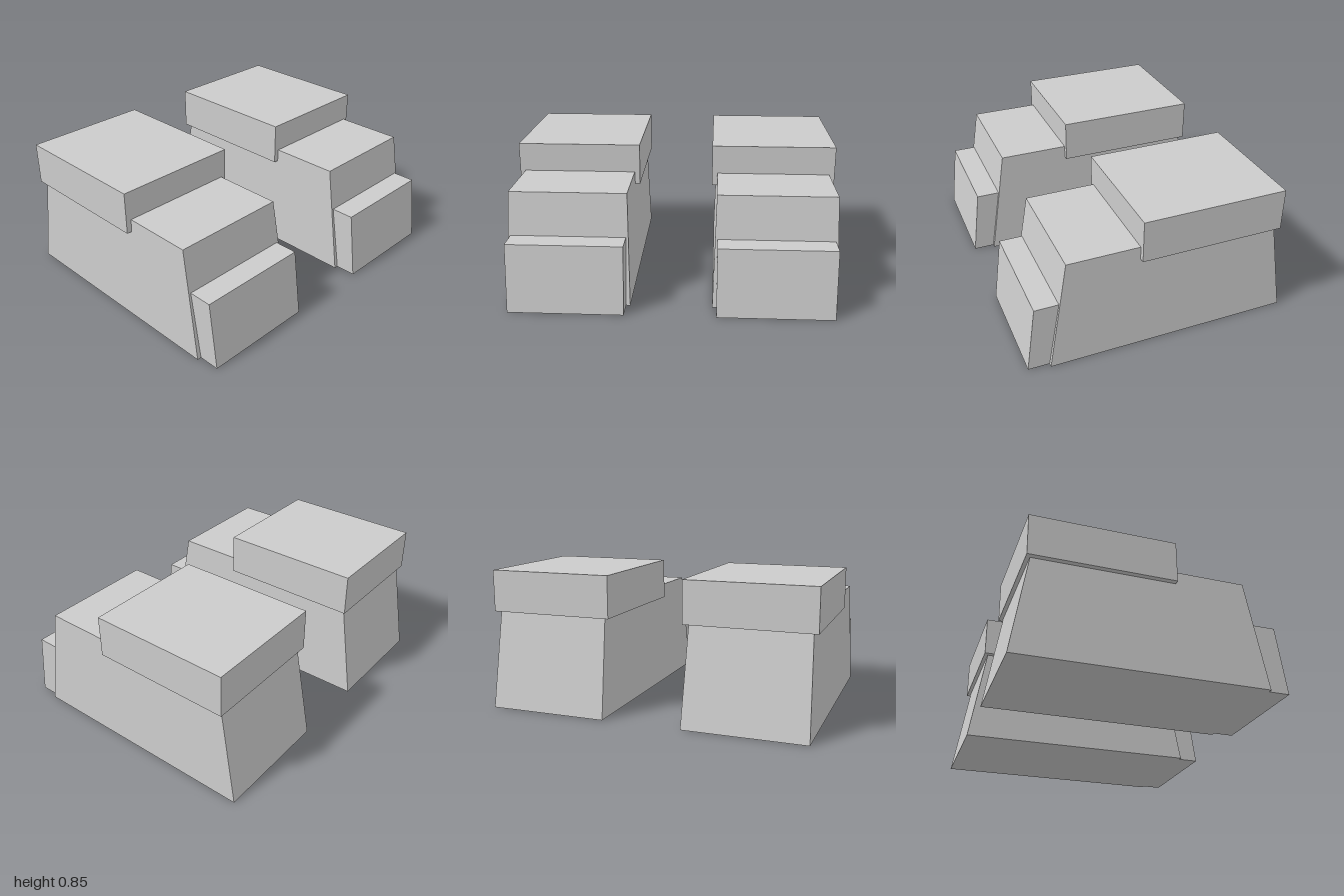
import * as THREE from 'three';

// Box whose bottom and top rectangles differ: [halfWidth, zBack, zFront]
function taperedBox(y0, y1, bottom, top) {
  const geo = new THREE.BoxGeometry(2, 1, 1);
  const p = geo.attributes.position;
  for (let i = 0; i < p.count; i++) {
    const up = p.getY(i) > 0;
    const [half, back, front] = up ? top : bottom;
    p.setXYZ(i, Math.sign(p.getX(i)) * half, up ? y1 : y0, p.getZ(i) > 0 ? front : back);
  }
  geo.computeVertexNormals();
  return geo;
}

export function createModel() {
  const model = new THREE.Group();
  model.name = 'boots';
  const grey = new THREE.MeshStandardMaterial({ color: 0xcccccc });
  grey.name = 'light grey';

  const parts = {
    // main block, sloped on all sides
    bootBody: taperedBox(0, 0.67, [0.37, -0.807, 0.68], [0.352, -0.695, 0.57]),
    // low toe block, its back tucked just inside the body
    toeCap: taperedBox(0, 0.41, [0.345, 0.67, 0.807], [0.345, 0.6, 0.755]),
    // overhanging straight block at the ankle
    ankleCuff: taperedBox(0.592, 0.847, [0.385, -0.732, 0.14], [0.385, -0.732, 0.14]),
  };

  for (const side of [1, -1]) {
    const boot = new THREE.Group();
    boot.name = side > 0 ? 'leftBoot' : 'rightBoot';
    for (const [name, geo] of Object.entries(parts)) {
      const mesh = new THREE.Mesh(geo, grey);
      mesh.name = name;
      boot.add(mesh);
    }
    boot.position.x = side * 0.615;
    model.add(boot);
  }
  return model;
}
